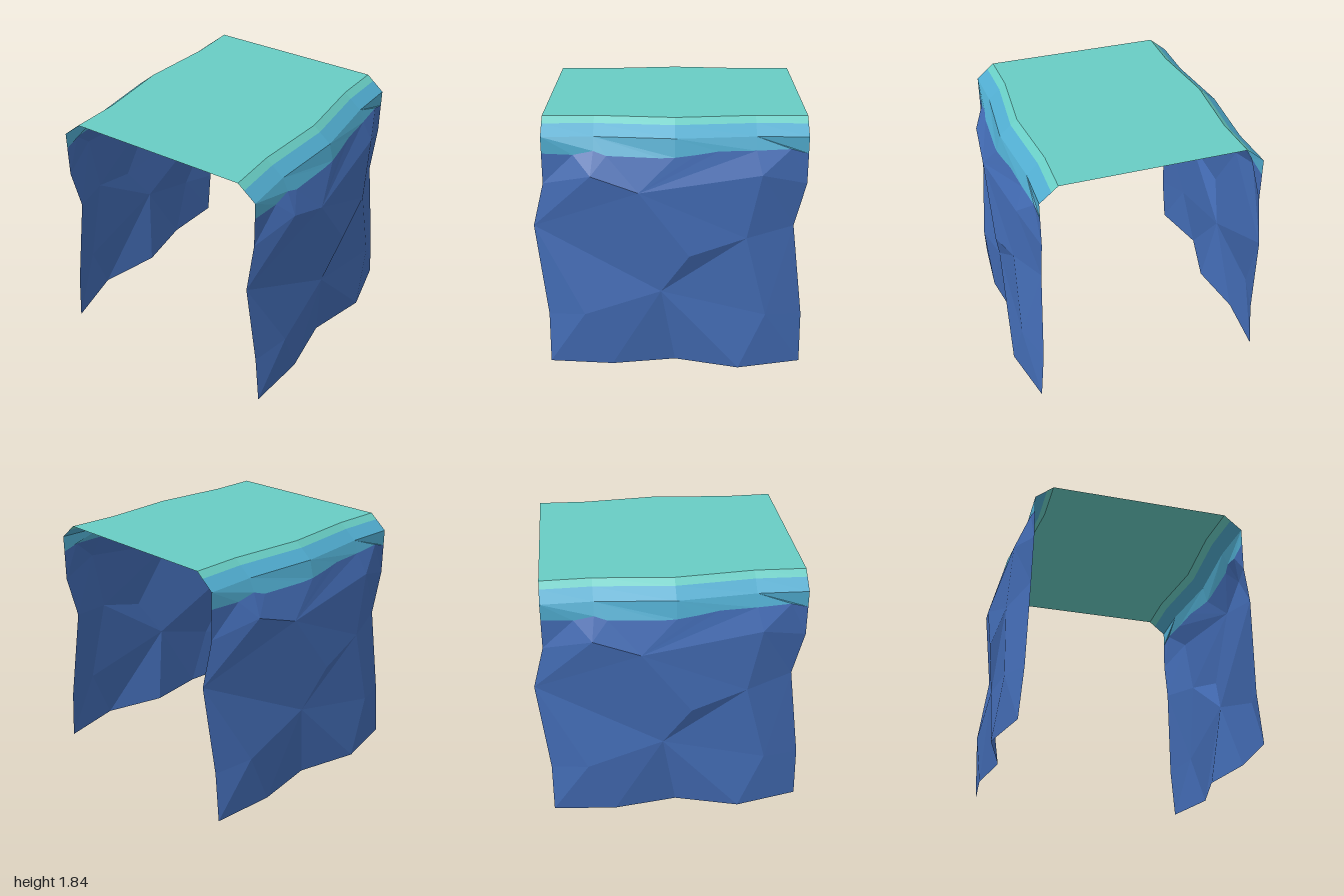
import * as THREE from 'three';

const makeMaterial = (name, color) => {
  const m = new THREE.MeshStandardMaterial({ color, side: THREE.DoubleSide, flatShading: true });
  m.name = name;
  return m;
};

// Linear lookup in a list of [z, value] pairs ordered by falling z
function lookup(pairs, z) {
  for (let i = 0; i < pairs.length - 1; i++) {
    const [z0, v0] = pairs[i], [z1, v1] = pairs[i + 1];
    if (z >= z1) return v0 + (v1 - v0) * (z0 - z) / (z0 - z1);
  }
  return pairs[pairs.length - 1][1];
}

// Facets between consecutive rows of [x, y, z] points, each row ordered by falling z
function facets(name, material, rows) {
  const pos = [];
  for (let r = 0; r < rows.length - 1; r++) {
    const a = rows[r], b = rows[r + 1];
    let i = 0, j = 0;
    while (i < a.length - 1 || j < b.length - 1) {
      const za = i < a.length - 1 ? a[i + 1][2] : -Infinity;
      const zb = j < b.length - 1 ? b[j + 1][2] : -Infinity;
      if (za > zb) pos.push(...a[i], ...b[j], ...a[++i]);
      else pos.push(...a[i], ...b[j], ...b[++j]);
    }
  }
  const g = new THREE.BufferGeometry();
  g.setAttribute('position', new THREE.Float32BufferAttribute(pos, 3));
  g.computeVertexNormals();
  const mesh = new THREE.Mesh(g, material);
  mesh.name = name;
  return mesh;
}

export function createModel() {
  const teal = makeMaterial('teal', 0x68cdc4);
  const sky = makeMaterial('light blue', 0x50accf);
  const blue = makeMaterial('blue', 0x436cb5);
  const model = new THREE.Group();
  model.name = 'archway';

  // Roof edge, and the shoulder that slopes out from it
  const edge = [[0.92, 0.67], [0.56, 0.66], [0, 0.71], [-0.56, 0.66], [-0.92, 0.67]];
  const shoulderRow = (dx, y) => edge.map(([z, x]) => [x + dx, y, z]);
  const roofEdge = shoulderRow(0, 1.84);
  const stripe = shoulderRow(0.048, 1.8);
  const crease = shoulderRow(0.133, 1.73);

  // Rocky wall rows from top to bottom
  const wallRows = [
    [[0.8, 1.39, 0.92], [0.91, 1.48, 0.58], [0.94, 1.37, 0.25], [0.89, 1.48, -0.6], [0.8, 1.39, -0.92]],
    [[0.795, 1.07, 1], [0.957, 0.9, -0.1], [0.91, 1.02, -0.5], [0.795, 1.07, -0.84]],
    [[0.83, 0.38, 0.92], [0.915, 0.42, 0.65], [0.9, 0.6, 0.1], [0.92, 0.42, -0.65], [0.83, 0.38, -0.92]],
    [[0.86, 0, 0.92], [0.9, 0, 0.46], [0.835, 0, 0], [0.96, 0, -0.46], [0.86, 0, -0.92]],
  ];

  // Wavy colour border just under the shoulder, lying on the wall
  const border = [
    [0.92, 1.61], [0.7, 1.61], [0.56, 1.64], [0.47, 1.61], [0.1, 1.6], [0, 1.605],
    [-0.15, 1.62], [-0.3, 1.64], [-0.56, 1.64], [-0.8, 1.645], [-0.92, 1.61],
  ].map(([z, y]) => {
    const x0 = lookup(edge, z) + 0.133;
    const x1 = lookup(wallRows[0].map(p => [p[2], p[0]]), z);
    const y1 = lookup(wallRows[0].map(p => [p[2], p[1]]), z);
    return [x0 + (x1 - x0) * (1.73 - y) / (1.73 - y1), y, z];
  });

  // Roof plate
  model.add(facets('roof', teal, [roofEdge.map(([x, y, z]) => [-x, y, z]), roofEdge]));

  // Two identical sides, half a turn apart
  for (const side of ['left', 'right']) {
    const group = new THREE.Group();
    group.name = side + 'Side';
    group.add(
      facets('roofTrim', teal, [roofEdge, stripe]),
      facets('shoulder', sky, [stripe, crease]),
      facets('upperWallBand', sky, [crease, border]),
      facets('wall', blue, [border, ...wallRows]),
    );
    if (side === 'right') group.rotation.y = Math.PI;
    model.add(group);
  }
  return model;
}
